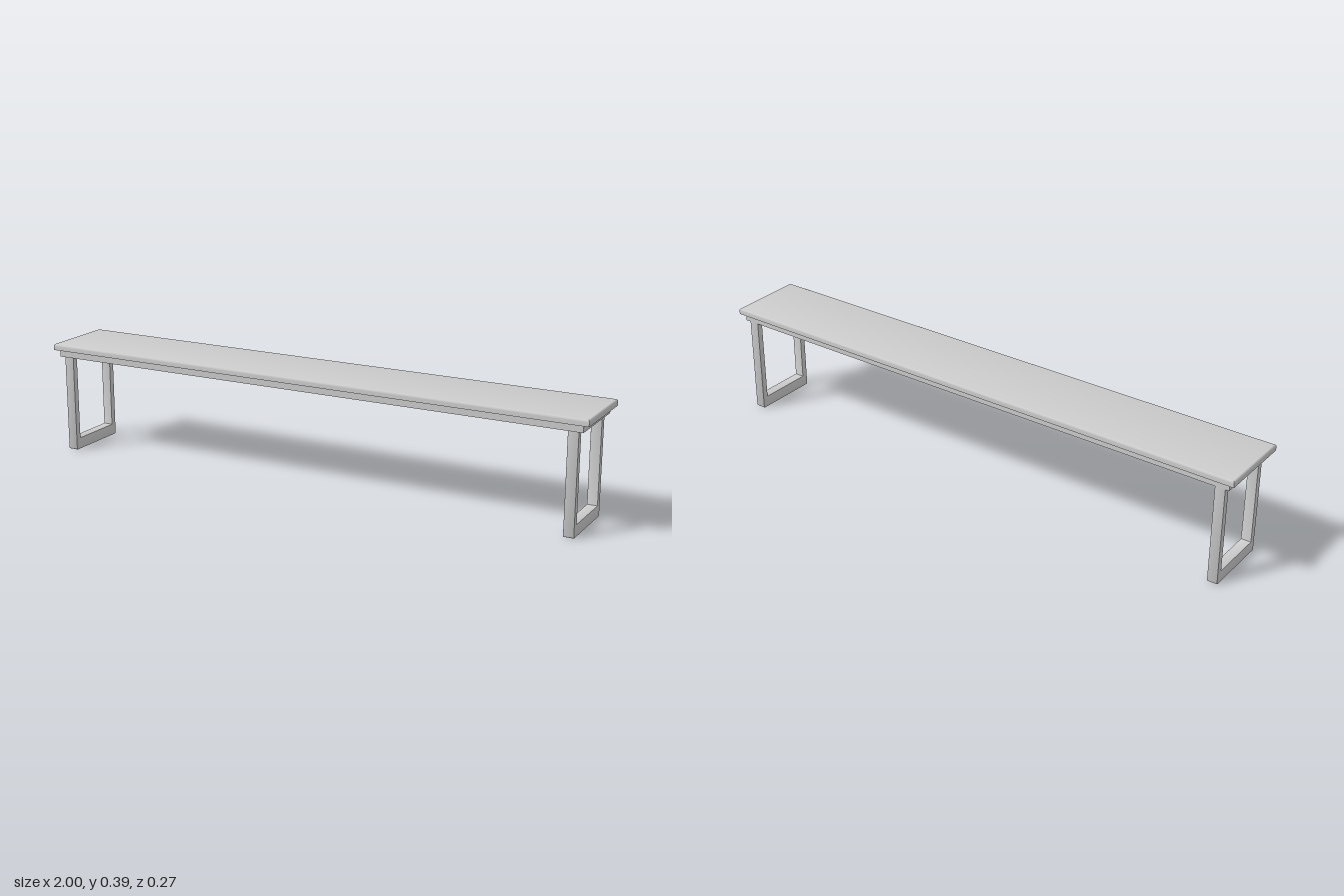
import * as THREE from 'three';
import { toCreasedNormals } from 'three/addons/utils/BufferGeometryUtils.js';

const material = new THREE.MeshStandardMaterial({ color: 0xcccccc });

function part(name, geometry, x = 0, y = 0, z = 0) {
  const mesh = new THREE.Mesh(geometry, material);
  mesh.name = name;
  mesh.position.set(x, y, z);
  return mesh;
}

// Slab with a square underside and rounded upper edges, lofted from rectangular rings
function slabGeometry(width, height, depth, radius) {
  const steps = 5;
  const rings = [[0, 0]];
  for (let i = 0; i <= steps; i++) {
    const a = (i / steps) * Math.PI / 2;
    rings.push([radius * (1 - Math.cos(a)), height - radius + radius * Math.sin(a)]);
  }
  const positions = [];
  const index = [];
  rings.forEach(([inset, y], r) => {
    const w = width / 2 - inset, d = depth / 2 - inset;
    positions.push(-w, y, d, w, y, d, w, y, -d, -w, y, -d);
    if (r === 0) return;
    for (let i = 0; i < 4; i++) {
      const a = (r - 1) * 4 + i, b = (r - 1) * 4 + (i + 1) % 4;
      index.push(a, b, b + 4, a, b + 4, a + 4);
    }
  });
  const t = (rings.length - 1) * 4;
  index.push(0, 2, 1, 0, 3, 2, t, t + 1, t + 2, t, t + 2, t + 3);
  const geometry = new THREE.BufferGeometry();
  geometry.setAttribute('position', new THREE.Float32BufferAttribute(positions, 3));
  geometry.setIndex(index);
  return toCreasedNormals(geometry, 0.6);
}

// U-shaped leg frame with softened corners, drawn in (z, y) and extruded along x
function legGeometry() {
  const bevel = 0.002, thickness = 0.036;
  const half = 0.1185 - bevel, inner = 0.0965 + bevel;
  const top = 0.35, bottom = bevel, bar = 0.041 - bevel, r = 0.004;
  const s = new THREE.Shape();
  s.moveTo(-half, top);
  s.lineTo(-half, bottom + r);
  s.quadraticCurveTo(-half, bottom, -half + r, bottom);
  s.lineTo(half - r, bottom);
  s.quadraticCurveTo(half, bottom, half, bottom + r);
  s.lineTo(half, top);
  s.lineTo(inner, top);
  s.lineTo(inner, bar + r);
  s.quadraticCurveTo(inner, bar, inner - r, bar);
  s.lineTo(-inner + r, bar);
  s.quadraticCurveTo(-inner, bar, -inner, bar + r);
  s.lineTo(-inner, top);
  s.closePath();
  const geometry = new THREE.ExtrudeGeometry(s, {
    depth: thickness - 2 * bevel, curveSegments: 4,
    bevelEnabled: true, bevelSize: bevel, bevelThickness: bevel, bevelSegments: 2,
  });
  geometry.translate(0, 0, -thickness / 2 + bevel);
  geometry.rotateY(Math.PI / 2);
  return toCreasedNormals(geometry, 0.6);
}

export function createModel() {
  const bench = new THREE.Group();
  bench.name = 'bench';

  // Seat and the solid board beneath it
  bench.add(part('seat', slabGeometry(2, 0.022, 0.27, 0.008), 0, 0.37, 0));
  bench.add(part('underSeatBoard', new THREE.BoxGeometry(1.96, 0.024, 0.248), 0, 0.358, 0.001));

  // Leg frame at each end
  const leg = legGeometry();
  bench.add(part('leftLegFrame', leg, 0.945, 0, -0.0035));
  bench.add(part('rightLegFrame', leg, -0.949, 0, -0.0035));

  return bench;
}
